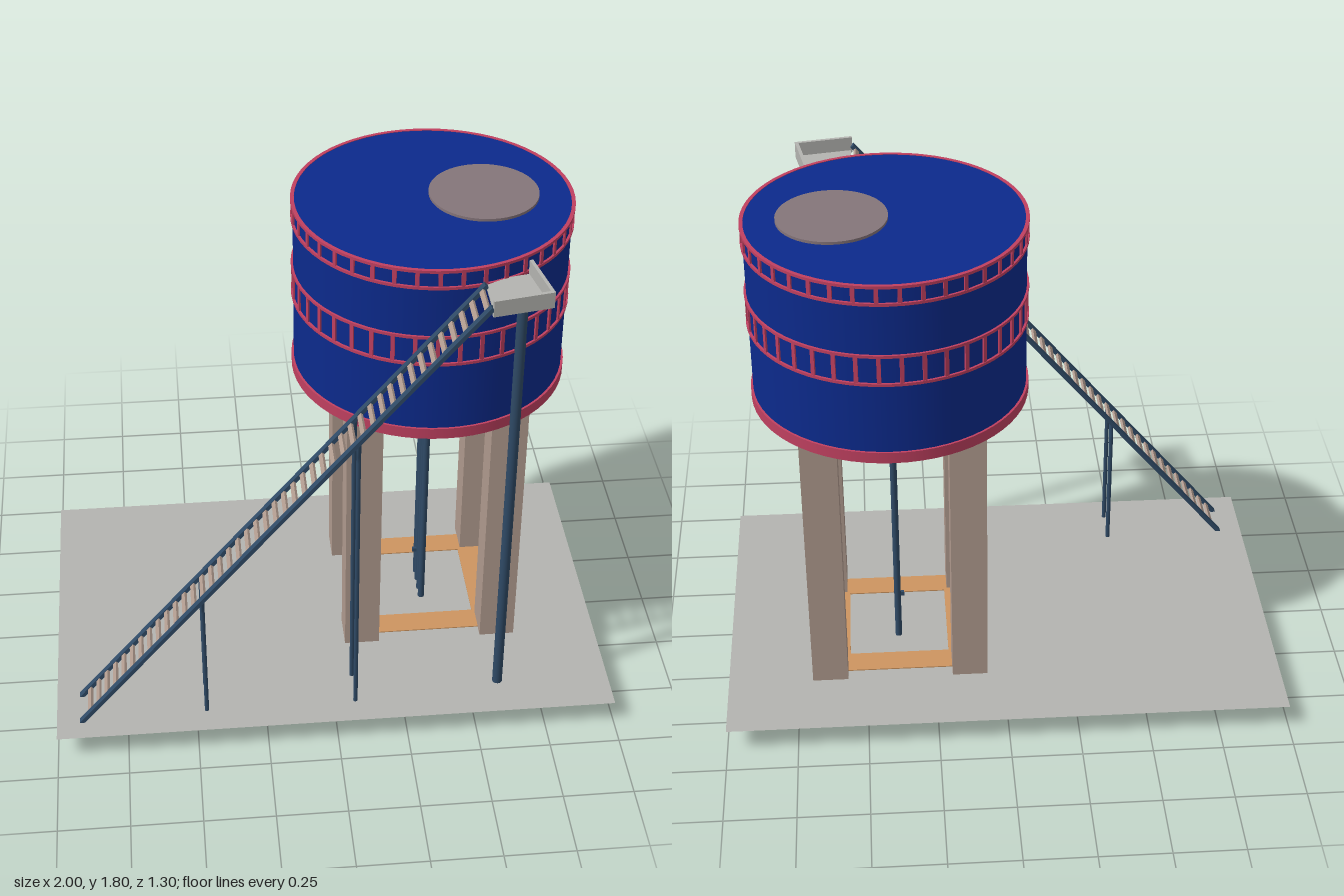
import * as THREE from 'three';

const TAU = Math.PI * 2;
const CX = 0.38, CZ = -0.075, R = 0.472; // tank centre and radius

const mat = (color, side = THREE.FrontSide) => new THREE.MeshStandardMaterial({ color, side });
const blue = mat(0x0c2a8c), red = mat(0xc04060), steel = mat(0x2f4a66);
const concrete = mat(0xb09a8e), orange = mat(0xcd9560), grey = mat(0xb4b4b0, THREE.DoubleSide);
const V = (x, y, z) => new THREE.Vector3(x, y, z);

function add(parent, name, geometry, material, x = 0, y = 0, z = 0) {
  const mesh = new THREE.Mesh(geometry, material);
  mesh.name = name;
  mesh.position.set(x, y, z);
  parent.add(mesh);
  return mesh;
}

// Upright round post between two heights
function post(parent, name, x, z, y0, y1, r) {
  return add(parent, name, new THREE.CylinderGeometry(r, r, y1 - y0, 16), steel, x, (y0 + y1) / 2, z);
}

// Square-section ring around the tank
function hoop(parent, name, y0, y1, rIn, rOut) {
  const pts = [[rIn, y0], [rOut, y0], [rOut, y1], [rIn, y1], [rIn, y0]];
  // each side is its own lathe so the edges stay sharp
  for (let i = 0; i < 4; i++) {
    const side = [pts[i], pts[i + 1]].map(p => new THREE.Vector2(...p));
    add(parent, name, new THREE.LatheGeometry(side, 64), red, CX, 0, CZ);
  }
}

// Two hoops joined by upright bars
function belt(parent, name, y0, y1) {
  const g = new THREE.Group();
  g.name = name;
  hoop(g, 'beltHoop', y0, y0 + 0.01, R - 0.005, 0.48);
  hoop(g, 'beltHoop', y1 - 0.01, y1, R - 0.005, 0.48);
  const bar = new THREE.BoxGeometry(0.014, y1 - y0 - 0.01, 0.008);
  for (let i = 0; i < 40; i++) {
    const a = (i + 0.5) / 40 * TAU;
    const m = add(g, 'beltBar', bar, red, CX + Math.sin(a) * 0.474, (y0 + y1) / 2, CZ + Math.cos(a) * 0.474);
    m.rotation.y = a;
  }
  parent.add(g);
}

function buildBase(model) {
  const ground = add(model, 'ground', new THREE.PlaneGeometry(2, 1.3), grey, 0, 0.088, 0);
  ground.rotation.x = -Math.PI / 2;

  // Square foundation frame
  const square = (Kind, h) => new Kind([[-h, -h], [h, -h], [h, h], [-h, h]].map(p => new THREE.Vector2(...p)));
  const shape = square(THREE.Shape, 0.273);
  shape.holes.push(square(THREE.Path, 0.18));
  const frame = new THREE.ExtrudeGeometry(shape, { depth: 0.092, bevelEnabled: false });
  frame.rotateX(-Math.PI / 2);
  add(model, 'foundationFrame', frame, orange, CX, 0, CZ);

  for (const sx of [-1, 1]) for (const sz of [-1, 1]) {
    add(model, 'leg', new THREE.BoxGeometry(0.127, 1.085, 0.127), concrete, CX + sx * 0.253, 0.6025, CZ + sz * 0.255);
  }
}

function buildTank(model) {
  add(model, 'tank', new THREE.CylinderGeometry(R, R, 0.655, 64), blue, CX, 1.4675, CZ);
  hoop(model, 'bottomRim', 1.135, 1.175, R - 0.005, 0.48);
  belt(model, 'middleBelt', 1.43, 1.545);
  belt(model, 'topBelt', 1.725, 1.797);
  add(model, 'roofHatch', new THREE.CylinderGeometry(0.187, 0.187, 0.012, 48), mat(0x85757a), 0.555, 1.799, -0.078);
}

function buildPipes(model) {
  for (const z of [0, -0.046, -0.1, -0.146]) post(model, 'waterPipe', CX, z, 0.04, 1.145, 0.012);
  add(model, 'valve', new THREE.BoxGeometry(0.016, 0.016, 0.012), steel, 0.363, 0.24, -0.095);
  post(model, 'platformPost', 0.595, 0.492, 0.05, 1.73, 0.018);
}

function buildStairs(model) {
  const stairs = new THREE.Group();
  stairs.name = 'stairs';
  const start = V(-0.95, 0.04, 0), end = V(0.485, 1.755, 0);
  const dir = end.clone().sub(start), angle = Math.atan2(dir.y, dir.x);
  const mid = start.clone().add(end).multiplyScalar(0.5);

  for (const z of [0.43, 0.563]) {
    const rail = add(stairs, 'rail', new THREE.BoxGeometry(dir.length(), 0.014, 0.024), steel, mid.x, mid.y, z);
    rail.rotation.z = angle;
  }
  const rung = new THREE.BoxGeometry(0.018, 0.01, 0.12);
  for (let i = 0; i < 43; i++) {
    const p = start.clone().lerp(end, 0.05 + 0.94 * i / 42);
    add(stairs, 'rung', rung, concrete, p.x, p.y, 0.4965).rotation.z = angle;
  }
  // Posts under the rails, bent inward at the top
  for (const [x, top, foot] of [[-0.465, 0.62, 0.085], [0.07, 1.25, 0.08]]) {
    for (const [z, railZ] of [[0.415, 0.43], [0.548, 0.563]]) {
      const path = new THREE.CurvePath();
      path.add(new THREE.LineCurve3(V(x, foot - 0.02, z), V(x, top - 0.06, z)));
      path.add(new THREE.LineCurve3(V(x, top - 0.06, z), V(x, top, railZ)));
      add(stairs, 'stairPost', new THREE.TubeGeometry(path, 40, 0.008, 10), steel);
    }
  }
  model.add(stairs);
}

function buildPlatform(model) {
  const platform = new THREE.Group();
  platform.name = 'platform';
  const corners = [[0.49, 0.57], [0.68, 0.535], [0.645, 0.345]];

  // Floor reaching back to the tank wall
  const floor = new THREE.Shape([...corners, [0.57, 0.36], [0.49, 0.4]].map(p => new THREE.Vector2(...p)));
  const slab = new THREE.ExtrudeGeometry(floor, { depth: 0.008, bevelEnabled: false });
  slab.rotateX(Math.PI / 2);
  add(platform, 'platformFloor', slab, grey, 0, 1.735, 0);

  // Low walls on the two open sides
  for (let i = 0; i < 2; i++) {
    const [x0, z0] = corners[i], [x1, z1] = corners[i + 1];
    const wall = new THREE.BoxGeometry(Math.hypot(x1 - x0, z1 - z0) + 0.01, 0.058, 0.012);
    const m = add(platform, 'platformWall', wall, grey, (x0 + x1) / 2, 1.755, (z0 + z1) / 2);
    m.rotation.y = -Math.atan2(z1 - z0, x1 - x0);
  }
  model.add(platform);
}

export function createModel() {
  const model = new THREE.Group();
  model.name = 'waterTower';
  buildBase(model);
  buildTank(model);
  buildPipes(model);
  buildStairs(model);
  buildPlatform(model);
  return model;
}
